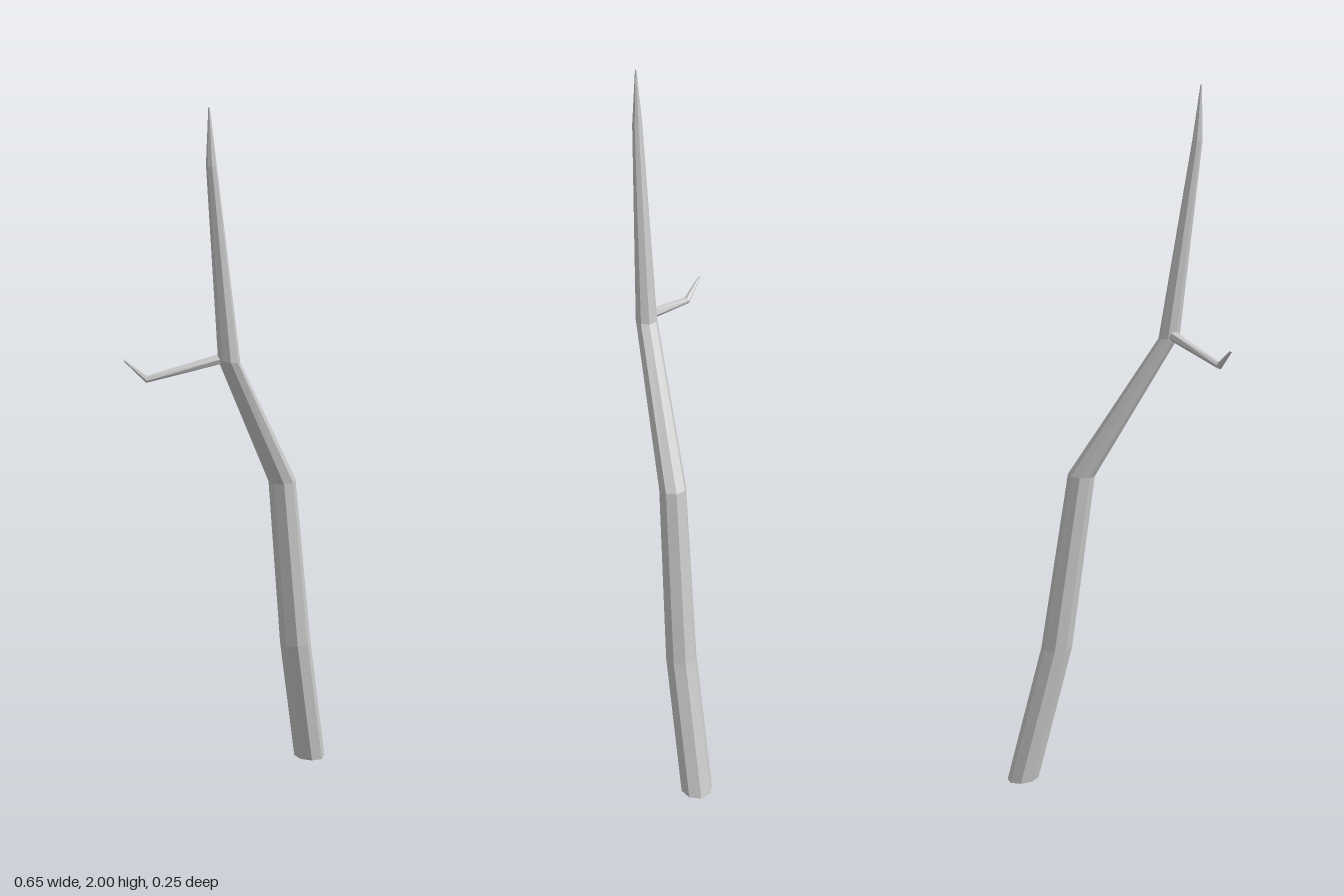
import * as THREE from 'three';

const V = (a) => new THREE.Vector3(...a);

// Faceted tapering limb through rings of { c: centre, r: radius, n: ring normal }
function limb(name, rings, sides) {
  const pos = [], index = [];
  rings.forEach(({ c, r, n }) => {
    const axis = V(n).normalize();
    const u = new THREE.Vector3(1, 0, 0).addScaledVector(axis, -axis.x).normalize();
    const v = new THREE.Vector3().crossVectors(axis, u);
    for (let j = 0; j < sides; j++) {
      const t = (j / sides) * Math.PI * 2;
      const p = V(c).addScaledVector(u, r * Math.cos(t)).addScaledVector(v, r * Math.sin(t));
      pos.push(p.x, p.y, p.z);
    }
  });
  const last = rings.length - 1, bottom = rings.length * sides, top = bottom + 1;
  pos.push(...rings[0].c, ...rings[last].c);
  for (let j = 0; j < sides; j++) {
    const k = (j + 1) % sides;
    for (let i = 0; i < last; i++) {
      const a = i * sides, b = a + sides;
      index.push(a + j, a + k, b + k, a + j, b + k, b + j);
    }
    // end caps
    index.push(bottom, k, j, top, last * sides + j, last * sides + k);
  }
  const geo = new THREE.BufferGeometry();
  geo.setAttribute('position', new THREE.Float32BufferAttribute(pos, 3));
  geo.setIndex(index);
  geo.computeVertexNormals();
  const mesh = new THREE.Mesh(geo, new THREE.MeshStandardMaterial({ color: 0xcccccc, flatShading: true }));
  mesh.name = name;
  return mesh;
}

export function createModel() {
  const group = new THREE.Group();
  group.name = 'bareBranch';

  // Crooked main stem, eight-sided
  group.add(limb('mainStem', [
    { c: [0.277, 0.005, 0.065], r: 0.045, n: [0.1, 1, 0] },
    { c: [0.179, 0.4, 0.081], r: 0.044, n: [0.04, 1, 0] },
    { c: [0.107, 0.908, 0.083], r: 0.038, n: [-0.05, 1, 0] },
    { c: [-0.137, 1.308, 0.084], r: 0.03, n: [0.2, 1, 0] },
    { c: [-0.211, 1.85, 0.083], r: 0.014, n: [0, 1, 0] },
    { c: [-0.22, 2, 0.083], r: 0.002, n: [0, 1, 0] },
  ], 8));

  // Small side twig with an upturned end
  group.add(limb('sideTwig', [
    { c: [-0.137, 1.318, 0.078], r: 0.015, n: [-0.69, -0.22, -0.69] },
    { c: [-0.287, 1.265, -0.076], r: 0.01, n: [-0.62, 0.22, -0.7] },
    { c: [-0.321, 1.316, -0.125], r: 0.003, n: [-0.45, 0.62, -0.62] },
  ], 6));

  return group;
}
